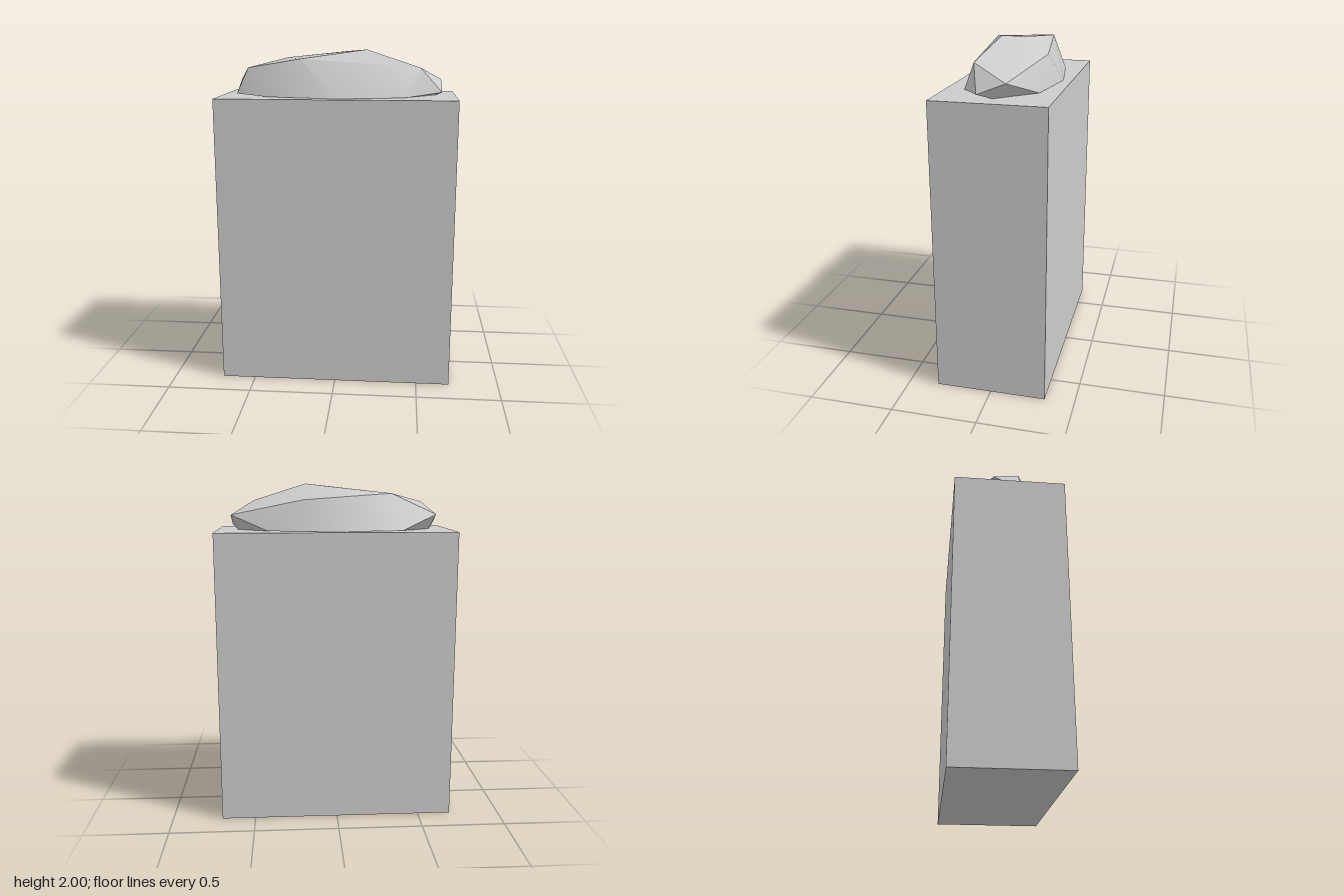
import * as THREE from 'three';
import { ConvexGeometry } from 'three/addons/geometries/ConvexGeometry.js';
import { toCreasedNormals } from 'three/addons/utils/BufferGeometryUtils.js';

const BOX_TOP = 1.73;

export function createModel() {
  const group = new THREE.Group();
  const grey = new THREE.MeshStandardMaterial({ color: 0xcccccc });
  grey.name = 'light grey';

  // Tall plain block
  const block = new THREE.Mesh(new THREE.BoxGeometry(1.4, BOX_TOP, 0.65), grey);
  block.name = 'block';
  block.position.y = BOX_TOP / 2;
  group.add(block);

  // Faceted mound: mirrored foot outline, then irregular ends and crown
  const points = [];
  const add = (x, y, z) => points.push(new THREE.Vector3(x, y, z));
  for (const s of [-1, 1]) {
    add(0, BOX_TOP, 0.272 * s);
    add(0.58 * s, BOX_TOP, 0);
    for (const t of [-1, 1]) add(0.395 * s, BOX_TOP + 0.003, 0.213 * t);
  }
  const crown = [
    [-0.61, 1.82, -0.088], [-0.61, 1.74, 0.08],
    [0.615, 1.82, -0.082], [0.615, 1.755, 0.08],
    [-0.54, 1.893, 0.07], [-0.21, 1.95, 0.178],
    [0.17, 2.0, 0.057], [0.485, 1.9, 0.128],
    [-0.33, 1.945, -0.147], [0.04, 1.985, -0.095],
    [0.19, 1.91, -0.217],
  ];
  crown.forEach((p) => add(...p));

  const mound = new THREE.Mesh(toCreasedNormals(new ConvexGeometry(points), 0.55), grey);
  mound.name = 'mound';
  group.add(mound);

  return group;
}
